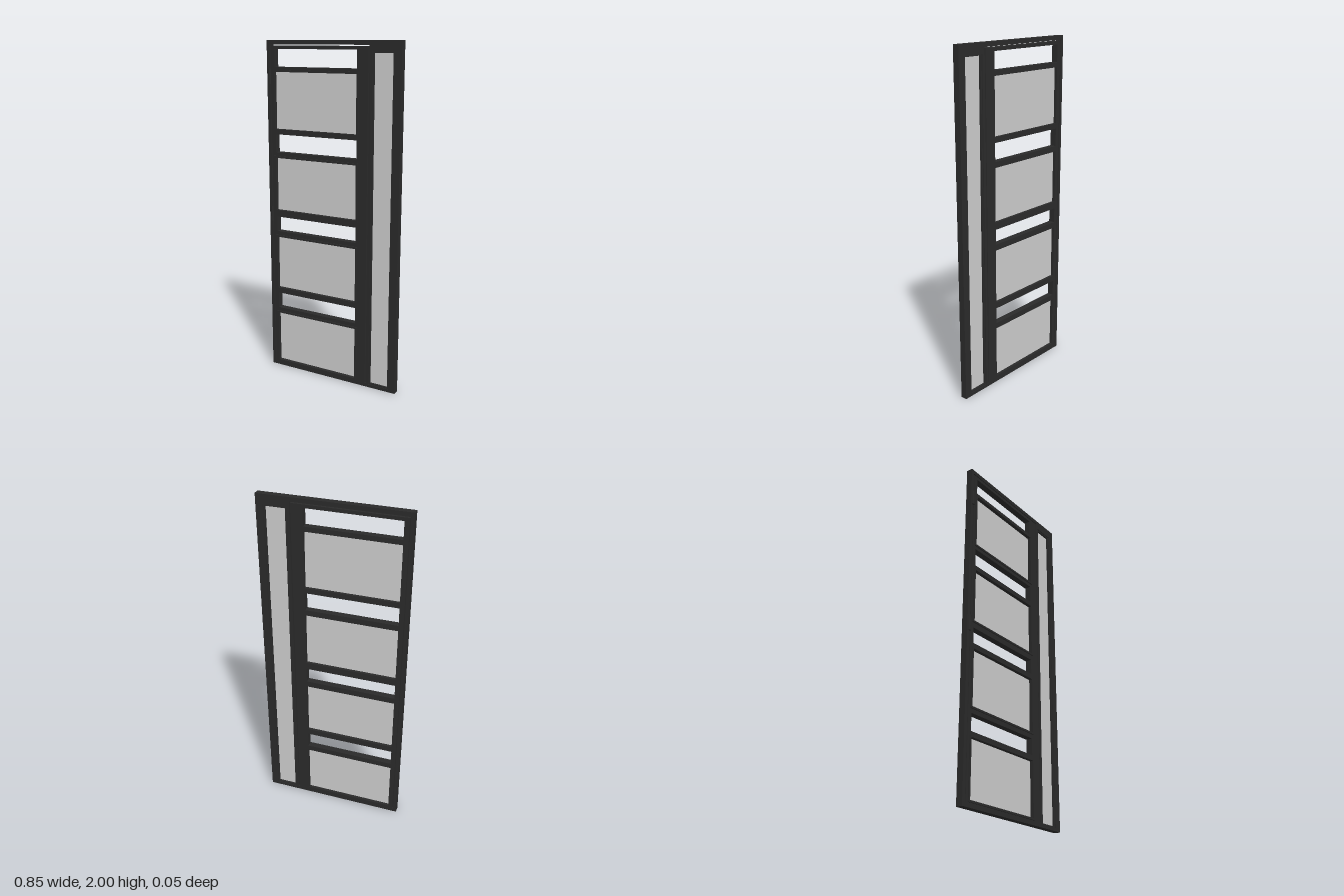
import * as THREE from 'three';

const dark = new THREE.MeshStandardMaterial({ color: 0x2a2a2a });
const pane = new THREE.MeshStandardMaterial({ color: 0xcccccc });

// Rectangles are [x0, x1, y0, y1]
function trace(path, [x0, x1, y0, y1]) {
  path.moveTo(x0, y0);
  path.lineTo(x1, y0);
  path.lineTo(x1, y1);
  path.lineTo(x0, y1);
  path.closePath();
  return path;
}

// Flat plate with rectangular openings, between depths z0 and z1
function plate(name, outer, holes, z0, z1, material = dark) {
  const shape = trace(new THREE.Shape(), outer);
  for (const h of holes) shape.holes.push(trace(new THREE.Path(), h));
  const geo = new THREE.ExtrudeGeometry(shape, { depth: z1 - z0, bevelEnabled: false });
  geo.translate(0, 0, z0);
  const mesh = new THREE.Mesh(geo, material);
  mesh.name = name;
  return mesh;
}

const grow = ([x0, x1, y0, y1], d) => [x0 - d, x1 + d, y0 - d, y1 + d];

export function createModel() {
  const model = new THREE.Group();
  model.name = 'doorWithSidelight';
  const back = -0.0235, front = 0.0145;

  // Fixed frame around the door and the narrow sidelight
  const side = [0.262, 0.375, 0.026, 1.935];
  model.add(plate('outerFrame', [-0.425, 0.425, 0, 2],
    [[-0.405, 0.236, 0.022, 1.976], grow(side, 0.008)], back, front));

  // Sidelight pane with its recessed beads
  const sidelight = new THREE.Group();
  sidelight.name = 'sidelight';
  sidelight.add(plate('sidelightBead', grow(side, 0.008), [side], -0.018, 0.01));
  sidelight.add(plate('sidelightGlass', grow(side, 0.002), [], -0.006, -0.001, pane));
  model.add(sidelight);

  // Door leaf: glazed panels alternating with open slots
  const x0 = -0.373, x1 = 0.162;
  const panes = [[0.037, 0.353], [0.518, 0.842], [1.009, 1.325], [1.495, 1.823]]
    .map(([a, b]) => [x0, x1, a, b]);
  const slots = [[0.386, 0.482], [0.877, 0.967], [1.358, 1.464], [1.851, 1.951]]
    .map(([a, b]) => [x0, x1, a, b]);
  const door = new THREE.Group();
  door.name = 'door';
  door.add(plate('doorLeaf', [-0.4, 0.23, 0.022, 1.97], [...panes, ...slots], back, front));
  for (const p of panes) {
    door.add(plate('glazingBead', grow(p, 0.011), [p], front, 0.0205));
    door.add(plate('doorGlass', grow(p, 0.002), [], -0.006, -0.001, pane));
  }
  model.add(door);

  // Hinge barrels on the left edge
  for (const y of [0.983, 1.797]) {
    const hinge = new THREE.Mesh(new THREE.CylinderGeometry(0.009, 0.009, 0.09, 20), dark);
    hinge.name = 'hinge';
    hinge.position.set(-0.408, y, 0.0135);
    model.add(hinge);
  }
  return model;
}
